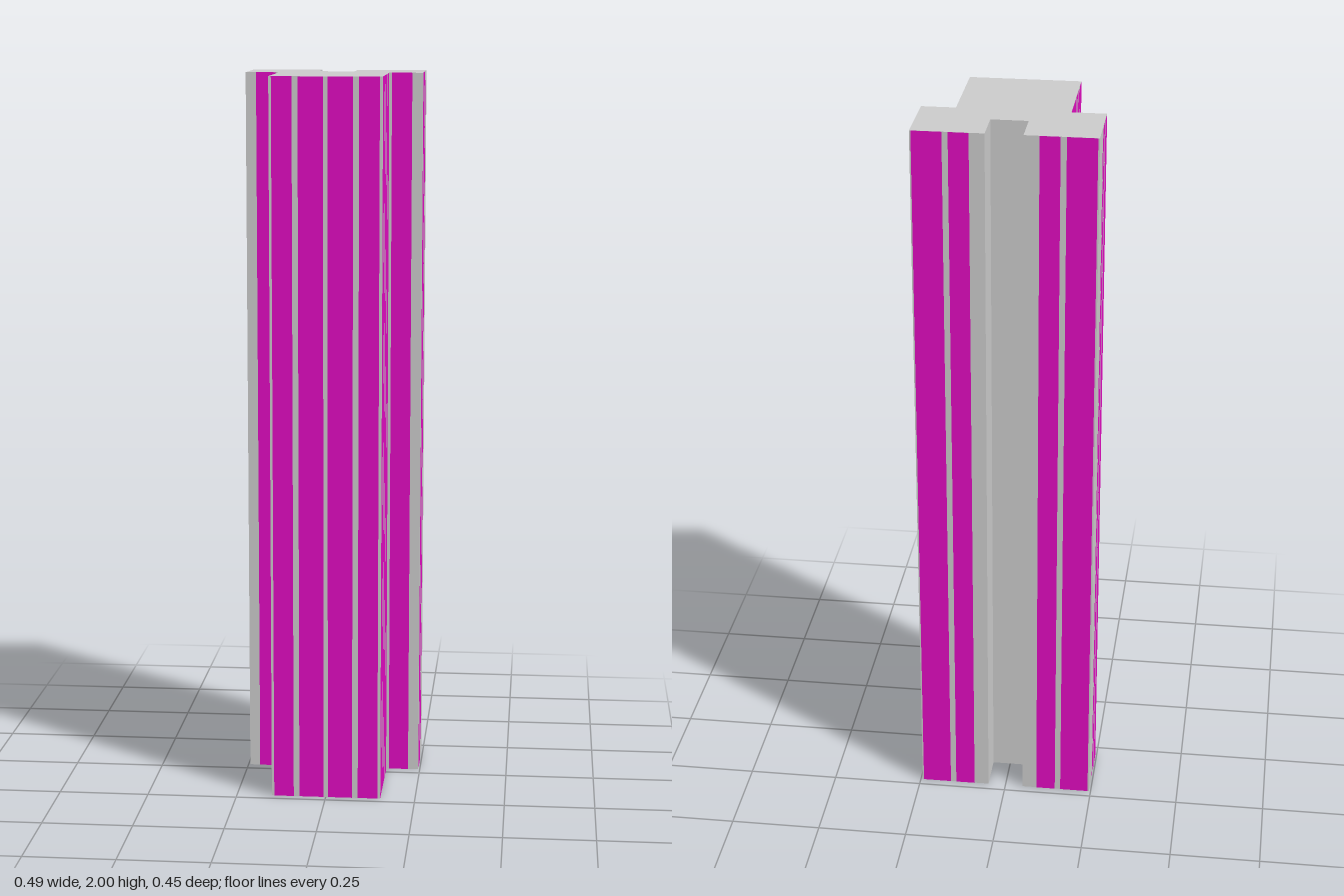
import * as THREE from 'three';

const HEIGHT = 2;

export function createModel() {
  const model = new THREE.Group();
  model.name = 'tower';
  const wallMaterial = new THREE.MeshStandardMaterial({ color: 0xcccccc, flatShading: true });
  const panelMaterial = new THREE.MeshStandardMaterial({ color: 0xe00cc0 });

  // Half of the floor plan as [x, z], from the notch round to the front; mirrored for the other half
  const half = [
    [0.05, -0.115], [0.05, -0.225], [0.245, -0.225],
    [0.245, -0.033], [0.152, -0.033], [0.152, 0.225],
  ];
  const plan = [...half, ...half.map(([x, z]) => [-x, z]).reverse()];
  const shape = new THREE.Shape(plan.map(([x, z]) => new THREE.Vector2(x, -z)));
  const bodyGeometry = new THREE.ExtrudeGeometry(shape, { depth: HEIGHT, bevelEnabled: false });
  bodyGeometry.rotateX(-Math.PI / 2);
  const body = new THREE.Mesh(bodyGeometry, wallMaterial);
  body.name = 'towerBody';
  model.add(body);

  // Full-height window strip laid just proud of a wall
  const lift = 0.001;
  function addStrip(name, x, z, width, angle) {
    const strip = new THREE.Mesh(new THREE.PlaneGeometry(width, HEIGHT), panelMaterial);
    strip.position.set(x + Math.sin(angle) * lift, HEIGHT / 2, z + Math.cos(angle) * lift);
    strip.rotation.y = angle;
    strip.name = name;
    model.add(strip);
  }

  // Walls facing front or back: strips are x ranges at a fixed z
  const zWalls = [
    { name: 'frontStrip', z: 0.225, angle: 0, strips: [[0.006, 0.074], [0.09, 0.145]] },
    { name: 'shoulderStrip', z: -0.033, angle: 0, strips: [[0.16, 0.216]] },
    { name: 'backStrip', z: -0.225, angle: Math.PI, strips: [[0.091, 0.145], [0.161, 0.241]] },
  ];
  // Walls facing sideways: strips are z ranges at a fixed x
  const xWalls = [
    {
      name: 'sideStrip', x: 0.152,
      strips: [[0.176, 0.222], [0.138, 0.168], [0.09, 0.123], [0.042, 0.081], [-0.021, 0.034]],
    },
    {
      name: 'wingStrip', x: 0.245,
      strips: [[-0.084, -0.037], [-0.128, -0.1], [-0.15, -0.136]],
    },
  ];
  for (const side of [1, -1]) {
    for (const { name, z, angle, strips } of zWalls) {
      for (const [a, b] of strips) addStrip(name, side * (a + b) / 2, z, b - a, angle);
    }
    for (const { name, x, strips } of xWalls) {
      for (const [a, b] of strips) addStrip(name, side * x, (a + b) / 2, b - a, side * Math.PI / 2);
    }
  }
  return model;
}
